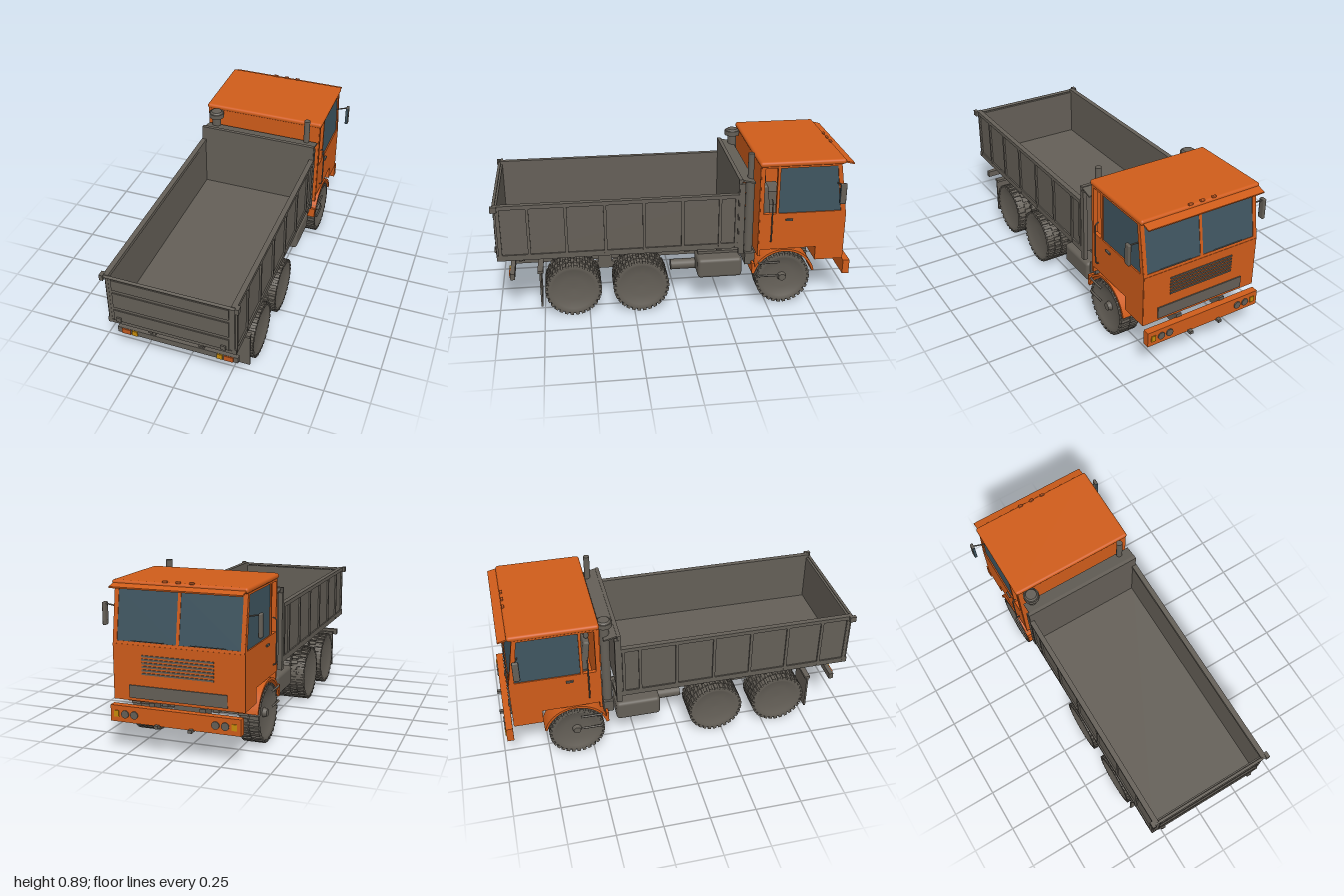
import * as THREE from 'three';
import { mergeGeometries } from 'three/addons/utils/BufferGeometryUtils.js';
import { RoundedBoxGeometry } from 'three/addons/geometries/RoundedBoxGeometry.js';

export function createModel() {
  const root = new THREE.Group();
  const mat = (name, color) => {
    const m = new THREE.MeshStandardMaterial({ color });
    m.name = name;
    return m;
  };
  const grey = mat('warm grey', 0x645f57);
  const orange = mat('cab orange', 0xcf5c1a);
  const glass = mat('dark glass', 0x3f5560);
  const amber = mat('amber', 0xc88c0a);
  const tail = mat('tail light', 0xc1591f);

  const add = (name, geo, m, parent = root) => {
    const mesh = new THREE.Mesh(geo, m);
    mesh.name = name;
    parent.add(mesh);
    return mesh;
  };
  const boxGeo = (x0, x1, y0, y1, z0, z1) =>
    new THREE.BoxGeometry(x1 - x0, y1 - y0, z1 - z0).translate((x0 + x1) / 2, (y0 + y1) / 2, (z0 + z1) / 2);
  const box = (name, m, ...b) => add(name, boxGeo(...b), m);
  // a box on +x and its twin on -x
  const pair = (name, m, x0, x1, ...b) => {
    box(name + 'Left', m, x0, x1, ...b);
    box(name + 'Right', m, -x1, -x0, ...b);
  };
  const tube = (name, m, points, r) => add(name, new THREE.TubeGeometry(
    new THREE.CatmullRomCurve3(points.map(p => new THREE.Vector3(...p)), false, 'catmullrom', 0.1), 20, r, 8), m);
  const cyl = (name, m, r, y0, y1, x, z, r2 = r) =>
    add(name, new THREE.CylinderGeometry(r2, r, y1 - y0, 20).translate(x, (y0 + y1) / 2, z), m);
  const poly = pts => new THREE.Shape(pts.map(p => new THREE.Vector2(...p)));
  // a (z, y) outline extruded from x0 to x1
  const sideExtrude = (shape, x0, x1) =>
    new THREE.ExtrudeGeometry(shape, { depth: x1 - x0, bevelEnabled: false, curveSegments: 24 })
      .rotateY(-Math.PI / 2).translate(x1, 0, 0);

  // ---- chassis ----
  pair('chassisRail', grey, 0.12, 0.15, 0.24, 0.315, -0.9, 0.92);
  for (const z of [-0.86, -0.42, -0.1, 0.02, 0.4, 0.76]) box('crossMember', grey, -0.13, 0.13, 0.25, 0.3, z - 0.02, z + 0.02);
  box('gearbox', grey, -0.08, 0.08, 0.19, 0.32, -0.8, -0.42);
  box('rearBeam', grey, -0.335, 0.335, 0.235, 0.27, 0.9, 0.925);
  pair('tailLight', tail, 0.26, 0.31, 0.237, 0.268, 0.925, 0.931);
  pair('rearIndicator', amber, 0.222, 0.252, 0.237, 0.268, 0.925, 0.931);
  pair('mudflap', grey, 0.18, 0.345, 0.065, 0.27, 0.757, 0.767);
  pair('mudflapArm', grey, 0.14, 0.345, 0.27, 0.285, 0.745, 0.775);
  const driveshaft = add('driveshaft', new THREE.CylinderGeometry(0.017, 0.017, 1.0, 12).rotateX(Math.PI / 2), grey);
  driveshaft.position.set(0.01, 0.19, 0.08);

  // ---- wheels ----
  const tyreGeo = w => {
    const h = w / 2;
    const profile = [[0, -h * 0.5], [0.07, -h * 0.55], [0.12, -h * 0.8], [0.135, -h], [0.147, -h * 0.85], [0.148, 0],
      [0.147, h * 0.85], [0.135, h], [0.12, h * 0.8], [0.07, h * 0.55], [0, h * 0.5]];
    const geos = [new THREE.LatheGeometry(profile.map(p => new THREE.Vector2(...p)), 48)];
    const n = 30;
    for (let i = 0; i < n; i++) for (const s of [-1, 1]) {
      const block = new THREE.BoxGeometry(0.02, w * 0.46, 0.019).translate(0.145, s * w * 0.255, 0);
      geos.push(block.rotateY((i + (s > 0 ? 0.5 : 0)) * 2 * Math.PI / n));
    }
    return mergeGeometries(geos).rotateZ(-Math.PI / 2);
  };
  const dual = tyreGeo(0.086), single = tyreGeo(0.11);
  for (const z of [0.585, 0.21]) {
    for (const s of [-1, 1]) for (const x of [0.216, 0.307])
      add('rearWheel', dual, grey).position.set(s * x, 0.156, z);
    const axle = add('rearAxle', new THREE.CylinderGeometry(0.027, 0.027, 0.56, 20).rotateZ(Math.PI / 2), grey);
    axle.position.set(0, 0.156, z);
    add('differential', new THREE.SphereGeometry(0.065, 28, 18), grey).position.set(0.012, 0.157, z);
    pair('axleBracket', grey, 0.12, 0.16, 0.17, 0.25, z - 0.03, z + 0.03);
  }
  pair('leafSpring', grey, 0.13, 0.16, 0.19, 0.225, 0.15, 0.65);
  pair('suspensionPivot', grey, 0.12, 0.165, 0.19, 0.3, 0.36, 0.44);
  for (const s of [-1, 1]) {
    add('frontWheel', single, grey).position.set(s * 0.297, 0.156, -0.59);
    const hub = add('frontHub', new THREE.CylinderGeometry(0.02, 0.028, 0.03, 16).rotateZ(-s * Math.PI / 2), grey);
    hub.position.set(s * 0.332, 0.156, -0.59);
  }
  box('frontAxle', grey, -0.27, 0.27, 0.135, 0.175, -0.61, -0.57);
  pair('frontSpring', grey, 0.125, 0.155, 0.19, 0.22, -0.78, -0.42);

  // ---- side tanks ----
  for (const s of [-1, 1]) {
    const tank = add('fuelTank', new RoundedBoxGeometry(0.16, 0.115, 0.25, 3, 0.02), grey);
    tank.position.set(s * 0.25, 0.228, -0.235);
    const air = add('airTank', new THREE.CylinderGeometry(0.03, 0.03, 0.35, 20).rotateX(Math.PI / 2), grey);
    air.position.set(s * 0.19, 0.2, -0.145);
  }
  pair('tankBracket', grey, 0.14, 0.25, 0.27, 0.3, -0.35, -0.12);

  // ---- tipping bed ----
  pair('tipRail', grey, 0.12, 0.16, 0.315, 0.36, -0.33, 0.93);
  for (let i = 0; i < 7; i++) box('bedBearer', grey, -0.33, 0.33, 0.345, 0.365, -0.24 + i * 0.18, -0.21 + i * 0.18);
  box('bedFloor', grey, -0.34, 0.34, 0.362, 0.382, -0.33, 0.985);
  pair('bedSide', grey, 0.325, 0.34, 0.365, 0.67, -0.33, 0.985);
  pair('topRail', grey, 0.322, 0.35, 0.658, 0.68, -0.33, 0.985);
  pair('bottomRail', grey, 0.33, 0.348, 0.36, 0.392, -0.33, 0.985);
  for (const z of [-0.315, -0.225, -0.02, 0.19, 0.4, 0.61, 0.81, 0.965]) pair('sideRib', grey, 0.335, 0.349, 0.365, 0.66, z - 0.008, z + 0.008);
  box('headboard', grey, -0.345, 0.345, 0.36, 0.765, -0.345, -0.325);
  pair('headboardPost', grey, 0.325, 0.348, 0.32, 0.74, -0.36, -0.33);
  add('headboardLip', sideExtrude(poly([[-0.33, 0.765], [-0.415, 0.745], [-0.415, 0.737], [-0.33, 0.755]]), -0.335, 0.345), grey);
  box('tailgate', grey, -0.335, 0.335, 0.385, 0.66, 0.968, 0.984);
  for (const [y0, y1] of [[0.385, 0.455], [0.475, 0.57], [0.59, 0.655]]) box('tailgatePanel', grey, -0.31, 0.31, y0, y1, 0.982, 0.99);
  const bar = add('tailgateBar', new THREE.CylinderGeometry(0.008, 0.008, 0.72, 12).rotateZ(Math.PI / 2), grey);
  bar.position.set(0, 0.668, 0.985);
  pair('tailgatePost', grey, 0.325, 0.348, 0.37, 0.68, 0.955, 0.975);
  pair('tailgateHinge', grey, 0.345, 0.365, 0.65, 0.682, 0.965, 1.0);
  pair('tailgateLatch', grey, 0.27, 0.295, 0.385, 0.412, 0.985, 0.998);
  for (const x of [-0.14, 0.14])
    add('tipHinge', sideExtrude(poly([[0.8, 0.36], [0.95, 0.37], [0.94, 0.3], [0.89, 0.295], [0.84, 0.32]]), x - 0.012, x + 0.012), grey);
  cyl('tipRam', orange, 0.032, 0.33, 0.68, 0, -0.39);

  // ---- exhaust and air intake ----
  cyl('exhaustMuffler', grey, 0.024, 0.26, 0.73, 0.28, -0.4);
  cyl('exhaustStack', grey, 0.017, 0.7, 0.89, 0.28, -0.4);
  cyl('intakePipe', grey, 0.026, 0.26, 0.81, -0.283, -0.403);
  cyl('intakeCap', grey, 0.044, 0.805, 0.832, -0.283, -0.403);
  cyl('intakeCapTop', grey, 0.038, 0.832, 0.842, -0.283, -0.403, 0.03);
  pair('stackMount', grey, 0.14, 0.32, 0.24, 0.31, -0.43, -0.375);

  // ---- cab ----
  const sideShape = poly([[-0.445, 0.34], [-0.77, 0.34], [-0.77, 0.26], [-0.93, 0.26], [-0.93, 0.54], [-0.885, 0.84], [-0.445, 0.84]]);
  const doorWindow = [[-0.55, 0.555], [-0.55, 0.82], [-0.865, 0.82], [-0.9, 0.555]];
  sideShape.holes.push(poly(doorWindow), poly([[-0.465, 0.555], [-0.465, 0.82], [-0.535, 0.82], [-0.535, 0.555]]));
  for (const s of [-1, 1]) {
    const c = s * 0.337;
    add('cabSide', sideExtrude(sideShape, c - 0.011, c + 0.011), orange);
    add('doorGlass', sideExtrude(poly(doorWindow), c - 0.004, c + 0.004), glass);
    // wheel arch
    const arch = new THREE.Shape();
    arch.absarc(-0.59, 0.155, 0.183, 0.24, Math.PI - 0.24, false);
    arch.absarc(-0.59, 0.155, 0.17, Math.PI - 0.24, 0.24, true);
    add('fender', sideExtrude(arch, s * 0.3 - 0.055, s * 0.3 + 0.055), orange);
    add('fenderTail', boxGeo(s * 0.3 - 0.055, s * 0.3 + 0.055, 0.2, 0.26, -0.424, -0.41), orange);
    // grab rail, door handle and steps
    tube('grabRail', grey, [[s * 0.345, 0.39, -0.51], [s * 0.365, 0.4, -0.51], [s * 0.365, 0.63, -0.51], [s * 0.345, 0.64, -0.51]], 0.004);
    add('doorHandle', boxGeo(s * 0.352 - 0.005, s * 0.352 + 0.005, 0.512, 0.522, -0.63, -0.59), grey);
    for (const y of [0.18, 0.262]) tube('stepBar', grey, [[s * 0.3, y, -0.45], [s * 0.36, y, -0.45], [s * 0.36, y, -0.565]], 0.006);
    // mirror
    tube('mirrorArm', grey, [[s * 0.34, 0.718, -0.87], [s * 0.405, 0.732, -0.885]], 0.004);
    add('mirrorHousing', new RoundedBoxGeometry(0.018, 0.118, 0.034, 2, 0.006), grey).position.set(s * 0.409, 0.682, -0.885);
    add('mirrorGlass', boxGeo(s * 0.409 - 0.007, s * 0.409 + 0.007, 0.628, 0.736, -0.869, -0.866), glass);
    // seat
    add('seatBase', boxGeo(s * 0.17 - 0.08, s * 0.17 + 0.08, 0.35, 0.5, -0.68, -0.5), grey);
    const back = add('seatBack', new RoundedBoxGeometry(0.15, 0.2, 0.035, 2, 0.012), grey);
    back.position.set(s * 0.17, 0.58, -0.505);
    back.rotation.x = 0.12;
    add('headrest', new RoundedBoxGeometry(0.09, 0.05, 0.028, 2, 0.012), grey).position.set(s * 0.17, 0.705, -0.49);
  }
  box('cabFloor', orange, -0.335, 0.335, 0.34, 0.355, -0.92, -0.45);
  box('cabBack', orange, -0.345, 0.345, 0.3, 0.84, -0.455, -0.44);
  box('cabNose', orange, -0.345, 0.345, 0.26, 0.545, -0.932, -0.912);
  box('noseUnderside', orange, -0.335, 0.335, 0.26, 0.27, -0.92, -0.77);
  box('noseRear', orange, -0.335, 0.335, 0.26, 0.35, -0.78, -0.77);
  box('dashboard', grey, -0.325, 0.325, 0.47, 0.54, -0.912, -0.82);
  const wheel = add('steeringWheel', new THREE.TorusGeometry(0.05, 0.006, 8, 24), grey);
  wheel.position.set(-0.17, 0.57, -0.78);
  wheel.rotation.x = -0.9;

  // raked windscreen in two panes
  const screen = new THREE.Group();
  screen.name = 'windscreen';
  screen.position.set(0, 0.54, -0.931);
  screen.rotation.x = 0.153;
  root.add(screen);
  const frame = poly([[-0.345, 0], [0.345, 0], [0.345, 0.305], [-0.345, 0.305]]);
  for (const s of [-1, 1]) {
    const pane = [[s * 0.008, 0.02], [s * 0.325, 0.02], [s * 0.325, 0.28], [s * 0.008, 0.28]];
    frame.holes.push(poly(pane));
    add('windscreenGlass', new THREE.ExtrudeGeometry(poly(pane), { depth: 0.008, bevelEnabled: false }).translate(0, 0, 0.003), glass, screen);
    const wiper = add('wiper', boxGeo(-0.09, 0.09, -0.002, 0.002, -0.006, -0.001), grey, screen);
    wiper.position.set(s * 0.16, 0.024, 0);
  }
  add('windscreenFrame', new THREE.ExtrudeGeometry(frame, { depth: 0.016, bevelEnabled: false }), orange, screen);

  // roof, visor and marker lamps
  add('roof', new RoundedBoxGeometry(0.71, 0.03, 0.475, 4, 0.014), orange).position.set(0, 0.844, -0.673);
  const visor = add('visor', new THREE.BoxGeometry(0.69, 0.008, 0.065), orange);
  visor.position.set(0, 0.836, -0.925);
  visor.rotation.x = -0.25;
  for (const x of [-0.07, 0, 0.07]) add('markerLamp', new RoundedBoxGeometry(0.026, 0.012, 0.014, 2, 0.004), tail).position.set(x, 0.862, -0.902);

  // grille
  for (let i = 0; i < 6; i++) box('grilleSlot', grey, -0.19, 0.19, 0.398 + i * 0.018, 0.407 + i * 0.018, -0.937, -0.931);
  box('lowerGrille', grey, -0.26, 0.26, 0.275, 0.34, -0.938, -0.931);

  // front bumper with lamps
  box('bumper', orange, -0.345, 0.345, 0.158, 0.242, -0.978, -0.94);
  pair('bumperMount', grey, 0.12, 0.15, 0.19, 0.26, -0.945, -0.87);
  pair('towHook', grey, 0.08, 0.1, 0.15, 0.166, -1.0, -0.96);
  for (const s of [-1, 1]) {
    for (const x of [0.215, 0.265]) {
      const lamp = add('headlamp', new THREE.CylinderGeometry(0.02, 0.02, 0.008, 24).rotateX(Math.PI / 2), grey);
      lamp.position.set(s * x, 0.2, -0.98);
    }
    add('frontIndicator', boxGeo(s * 0.312 - 0.013, s * 0.312 + 0.013, 0.184, 0.216, -0.983, -0.977), amber);
  }
  return root;
}
